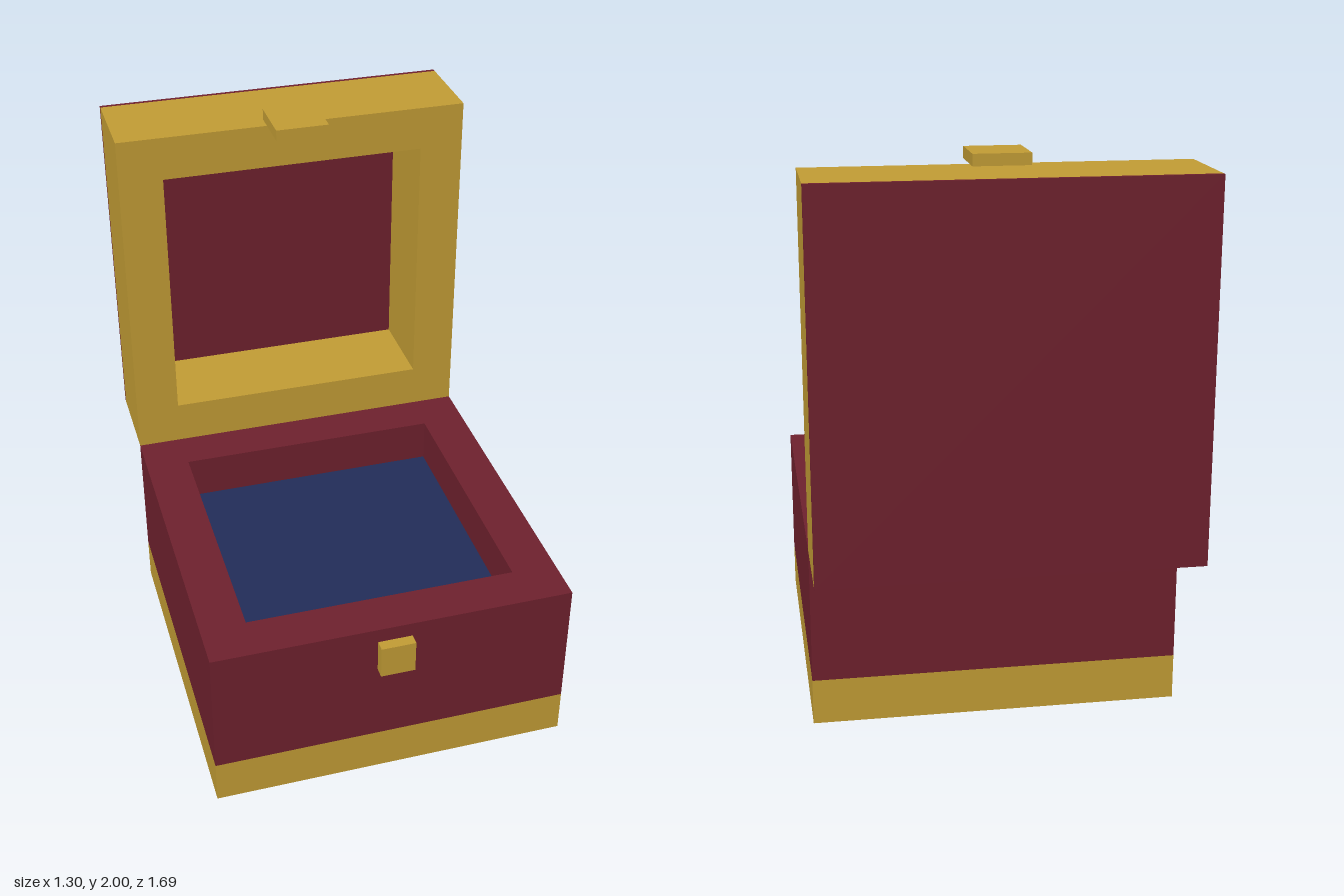
import * as THREE from 'three';

const material = (name, color) => {
  const m = new THREE.MeshStandardMaterial({ color });
  m.name = name;
  return m;
};

// Square outline of half-size r
function square(r, Type) {
  const s = new Type();
  s.moveTo(-r, -r);
  s.lineTo(r, -r);
  s.lineTo(r, r);
  s.lineTo(-r, r);
  s.closePath();
  return s;
}

// Square frame with a square opening, extruded from z = 0 to z = depth
function frameGeometry(outer, inner, depth) {
  const shape = square(outer, THREE.Shape);
  shape.holes.push(square(inner, THREE.Path));
  return new THREE.ExtrudeGeometry(shape, { depth, bevelEnabled: false });
}

export function createModel() {
  const gold = material('gold', 0xc39d35);
  const maroon = material('maroon', 0x6f212e);
  const navy = material('navy', 0x222d59);

  const model = new THREE.Group();
  model.name = 'hingedBox';
  const HALF = 0.6525, OPEN = 0.49;

  const add = (parent, name, geometry, mat) => {
    const mesh = new THREE.Mesh(geometry, mat);
    mesh.name = name;
    parent.add(mesh);
    return mesh;
  };
  // Box given by its minimum and maximum corners
  const addBox = (parent, name, mat, [x0, y0, z0], [x1, y1, z1]) =>
    add(parent, name, new THREE.BoxGeometry(x1 - x0, y1 - y0, z1 - z0), mat)
      .position.set((x0 + x1) / 2, (y0 + y1) / 2, (z0 + z1) / 2);

  // Base: gold foot, maroon walls and a sunken navy lining
  const base = new THREE.Group();
  base.name = 'base';
  base.position.z = 0.1525;
  model.add(base);
  addBox(base, 'foot', gold, [-HALF, 0, -HALF], [HALF, 0.165, HALF]);
  const walls = add(base, 'walls', frameGeometry(HALF, OPEN, 0.49), maroon);
  walls.rotation.x = -Math.PI / 2;
  walls.position.y = 0.165;
  addBox(base, 'lining', navy, [-OPEN, 0.165, -OPEN], [OPEN, 0.49, OPEN]);
  addBox(base, 'catch', gold, [-0.0625, 0.475, HALF], [0.0625, 0.6, HALF + 0.04]);

  // Open lid: upright gold frame, maroon back panel and clasp
  const lid = new THREE.Group();
  lid.name = 'lid';
  lid.position.set(0, 0.655 + HALF, -0.5);
  model.add(lid);
  add(lid, 'lidFrame', frameGeometry(HALF, OPEN, 0.33), gold).position.z = -0.33;
  addBox(lid, 'lidPanel', maroon, [-HALF, -HALF, -0.345], [HALF, HALF, -0.33]);
  addBox(lid, 'clasp', gold, [-0.1, HALF, -0.06], [0.094, HALF + 0.04, 0.138]);

  return model;
}
